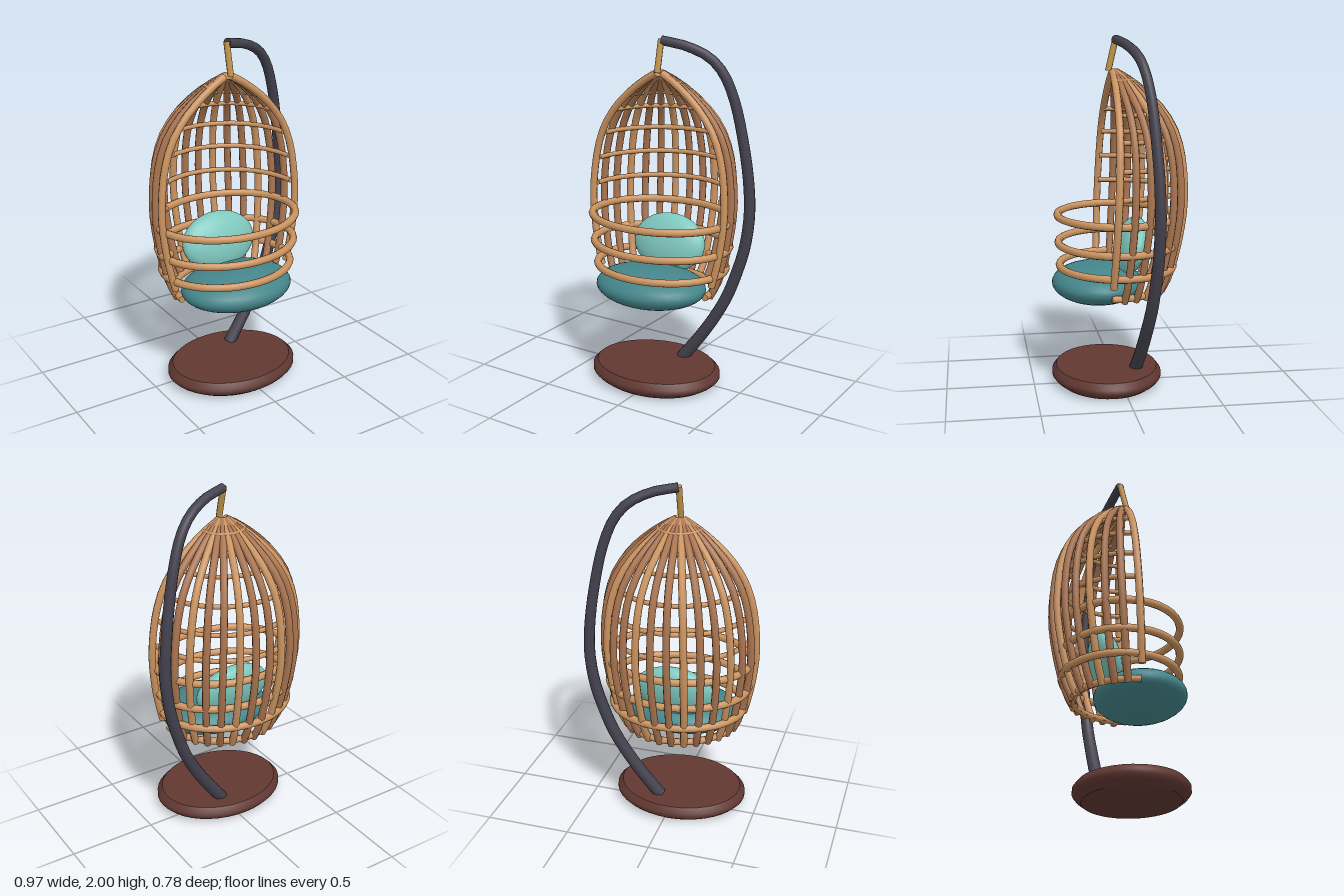
import * as THREE from 'three';

const mat = (name, color, side = THREE.FrontSide) => {
  const m = new THREE.MeshStandardMaterial({ color, side });
  m.name = name;
  return m;
};
const V = (x, y, z) => new THREE.Vector3(x, y, z);

export function createModel() {
  const group = new THREE.Group();
  const rattan = mat('rattan', 0xcc9460);
  const darkRattan = mat('dark rattan', 0xaa7550);
  const steel = mat('dark steel', 0x43414d);
  const wood = mat('brown base', 0x613832);
  const teal = mat('teal fabric', 0x44858a);
  const mint = mat('mint fabric', 0x7fc8bf);
  const brass = mat('brass', 0xc0934a);
  const CX = -0.025;

  const add = (name, geometry, material, parent = group) => {
    const mesh = new THREE.Mesh(geometry, material);
    mesh.name = name;
    parent.add(mesh);
    return mesh;
  };

  // Round rod along a curve with flat ends; radius may vary along its length
  const rod = (name, curve, radius, material, segments, sides = 8, closed = false) => {
    const part = new THREE.Group();
    part.name = name;
    group.add(part);
    const r = typeof radius === 'function' ? radius : () => radius;
    const geo = new THREE.TubeGeometry(curve, segments, 1, sides, closed);
    const pos = geo.attributes.position, p = V(0, 0, 0);
    for (let i = 0; i < pos.count; i++) {
      const t = Math.floor(i / (sides + 1)) / segments;
      const c = curve.getPointAt(closed ? t % 1 : t);
      p.fromBufferAttribute(pos, i).sub(c).multiplyScalar(r(t)).add(c);
      pos.setXYZ(i, p.x, p.y, p.z);
    }
    add(name + 'Rod', geo, material, part);
    if (!closed) for (const t of [0, 1]) {
      const cap = add(name + 'End', new THREE.CircleGeometry(r(t), 12), material, part);
      const dir = curve.getTangentAt(t).multiplyScalar(t ? 1 : -1);
      cap.position.copy(curve.getPointAt(t));
      cap.quaternion.setFromUnitVectors(V(0, 0, 1), dir);
    }
    return part;
  };

  // Base: oval disc with bevelled rims
  const profile = [[0, 0], [0.335, 0], [0.375, 0.025], [0.395, 0.045], [0.395, 0.07], [0.365, 0.1], [0, 0.1]];
  const flatProfile = [];
  profile.forEach(([x, y], i) => {
    flatProfile.push(new THREE.Vector2(x, y));
    if (i === 1 || i === 5) flatProfile.push(new THREE.Vector2(x, y));
  });
  const base = add('base', new THREE.LatheGeometry(flatProfile, 40), wood);
  base.scale.z = 0.8;
  base.position.set(CX, 0, 0.075);

  // Curved stand, thicker towards the foot
  const pole = new THREE.CatmullRomCurve3([
    V(0.06, 0.09, -0.085), V(0.15, 0.21, -0.1), V(0.25, 0.36, -0.115), V(0.33, 0.51, -0.13),
    V(0.385, 0.66, -0.14), V(0.43, 0.82, -0.148), V(0.455, 1.02, -0.15), V(0.445, 1.22, -0.147),
    V(0.41, 1.46, -0.132), V(0.365, 1.66, -0.115), V(0.31, 1.8, -0.092), V(0.24, 1.885, -0.065),
    V(0.12, 1.945, -0.02), V(-0.02, 1.973, 0.018),
  ]);
  rod('stand', pole, t => 0.037 - 0.011 * t, steel, 36, 12);

  // Hanger between stand and cage
  rod('hanger', new THREE.LineCurve3(V(CX + 0.003, 1.98, 0.018), V(CX + 0.003, 1.8, 0.06)), 0.018, brass, 1, 8);

  // Cage axis leans slightly forward towards the bottom
  const axisZ = y => 0.035 + 0.05 * (1.8 - y) / 1.17;

  // Ribs fan around the back half of the cage
  const ribProfile = [[0.02, 1.795], [0.09, 1.755], [0.18, 1.69], [0.285, 1.59], [0.36, 1.48], [0.405, 1.36],
    [0.43, 1.22], [0.44, 1.06], [0.43, 0.92], [0.408, 0.78], [0.375, 0.64], [0.335, 0.55]];
  const RIBS = 16;
  for (let i = 0; i < RIBS; i++) {
    const a = Math.PI * i / (RIBS - 1);
    const edge = i === 0 || i === RIBS - 1;
    const points = (edge ? ribProfile.slice(0, -1) : ribProfile).map(([r, y]) =>
      V(CX + r * Math.cos(a), y, axisZ(y) - r * Math.sin(a)));
    rod('rib', new THREE.CatmullRomCurve3(points), 0.021, i % 3 ? darkRattan : rattan, 18);
  }

  // Thin hoops across the back, open at the front
  const backHoops = [[0.57, 0.335, 0.02], [1.13, 0.412, 0.015], [1.28, 0.4, 0.014], [1.43, 0.36, 0.014],
    [1.57, 0.285, 0.013], [1.66, 0.205, 0.012], [1.745, 0.12, 0.012]];
  for (const [y, r, thick] of backHoops) {
    const points = [];
    for (let k = 0; k <= 16; k++) {
      const a = Math.PI * k / 16;
      points.push(V(CX + r * Math.cos(a), y, axisZ(y) - r * Math.sin(a)));
    }
    rod('backHoop', new THREE.CatmullRomCurve3(points), thick, rattan, 24);
  }

  // Full oval hoops that form the front guard
  for (const [y, rx, rz] of [[0.985, 0.42, 0.336], [0.825, 0.41, 0.332], [0.693, 0.388, 0.326]]) {
    const points = [];
    for (let k = 0; k < 24; k++) {
      const a = Math.PI * 2 * k / 24;
      points.push(V(CX + rx * Math.cos(a), y, 0.016 + rz * Math.sin(a)));
    }
    rod('guardHoop', new THREE.CatmullRomCurve3(points, true), 0.022, rattan, 40, 8, true);
  }

  // Seat cushion and back pillow
  const seat = add('seatCushion', new THREE.SphereGeometry(1, 32, 20), teal);
  seat.scale.set(0.335, 0.112, 0.26);
  seat.position.set(CX, 0.593, 0.127);

  const pillow = add('backPillow', new THREE.SphereGeometry(1, 32, 20), mint);
  pillow.scale.set(0.235, 0.17, 0.085);
  pillow.rotation.x = -0.3;
  pillow.position.set(CX, 0.8, -0.07);

  return group;
}
